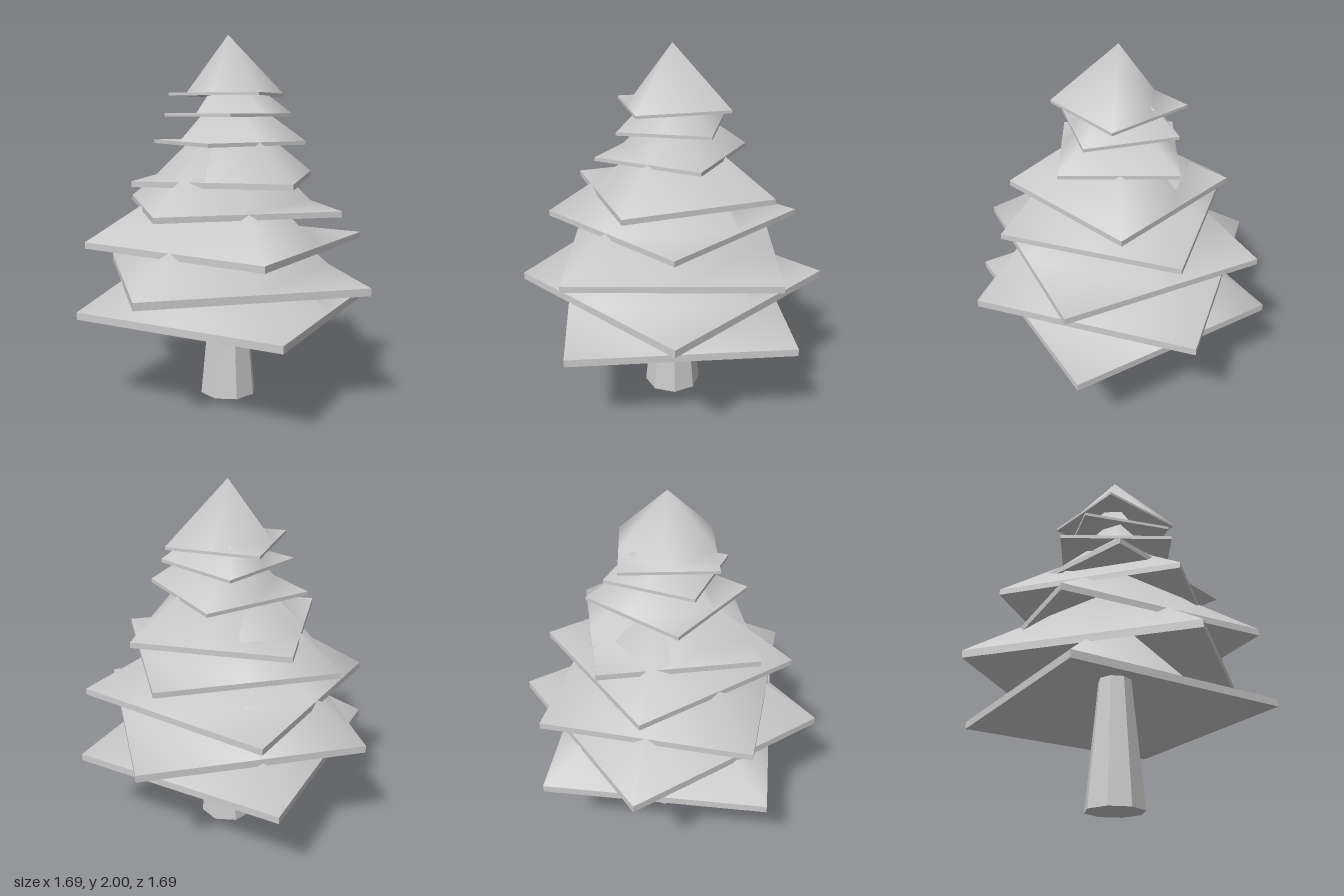
import * as THREE from 'three';

const smooth = new THREE.MeshStandardMaterial({ color: 0xcccccc });
const flat = new THREE.MeshStandardMaterial({ color: 0xcccccc, flatShading: true });

// Roof on a square: it reaches two corners and three edge middles,
// leaving a level triangle at each of the other two corners
function roofGeometry(radius, height, facesDown) {
  const points = [0, height, 0];
  for (const degrees of [0, 90, 135, 225, 315, 180, 270]) {
    const a = THREE.MathUtils.degToRad(degrees);
    const r = degrees % 90 ? radius * Math.SQRT1_2 : radius;
    points.push(r * Math.sin(a), 0, r * Math.cos(a));
  }
  // Five sloping faces, then the two level corners
  const faces = [[0, 1, 2], [0, 2, 3], [0, 3, 4], [0, 4, 5], [0, 5, 1], [3, 6, 4], [4, 7, 5]];
  if (facesDown) faces.forEach((f) => f.reverse());
  const geometry = new THREE.BufferGeometry();
  geometry.setAttribute('position', new THREE.Float32BufferAttribute(points, 3));
  geometry.setIndex(faces.flat());
  geometry.computeVertexNormals();
  return geometry;
}

function addMesh(parent, name, geometry, material, y) {
  const mesh = new THREE.Mesh(geometry, material);
  mesh.name = name;
  mesh.position.y = y;
  parent.add(mesh);
}

// One hollow layer: sloped top, thin upright rim, hollow underside
function makeTier(x, z, bottom, top, apex) {
  const tier = new THREE.Group();
  const radius = Math.hypot(x, z);
  const rim = top - bottom;
  addMesh(tier, 'branchTop', roofGeometry(radius, apex - top, false), smooth, top);
  addMesh(tier, 'branchRim', new THREE.CylinderGeometry(radius, radius, rim, 4, 1, true), flat, bottom + rim / 2);
  addMesh(tier, 'branchUnderside', roofGeometry(radius, apex - top, true), smooth, bottom);
  tier.rotation.y = Math.atan2(x, z);
  return tier;
}

export function createModel() {
  const tree = new THREE.Group();
  tree.name = 'tree';

  // Tapered eight-sided trunk, its top hidden inside the lowest layer
  addMesh(tree, 'trunk', new THREE.CylinderGeometry(0.092, 0.16, 0.7, 8), flat, 0.35);

  // Layers: first ridge corner x and z, rim bottom, rim top, apex height
  const tiers = [
    [-0.6, -0.6, 0.49, 0.53, 1.07],
    [-0.847, -0.062, 0.67, 0.71, 1.26],
    [-0.607, 0.505, 0.86, 0.895, 1.39],
    [-0.68, -0.05, 1.06, 1.09, 1.55],
    [0.51, 0.29, 1.21, 1.24, 1.64],
    [0.415, -0.105, 1.415, 1.435, 1.74],
    [0.302, -0.172, 1.565, 1.582, 1.85],
    [0.283, 0.205, 1.675, 1.69, 2.0],
  ];
  tiers.forEach((t, i) => {
    const tier = makeTier(...t);
    tier.name = `branchTier${i + 1}`;
    tree.add(tier);
  });
  return tree;
}
